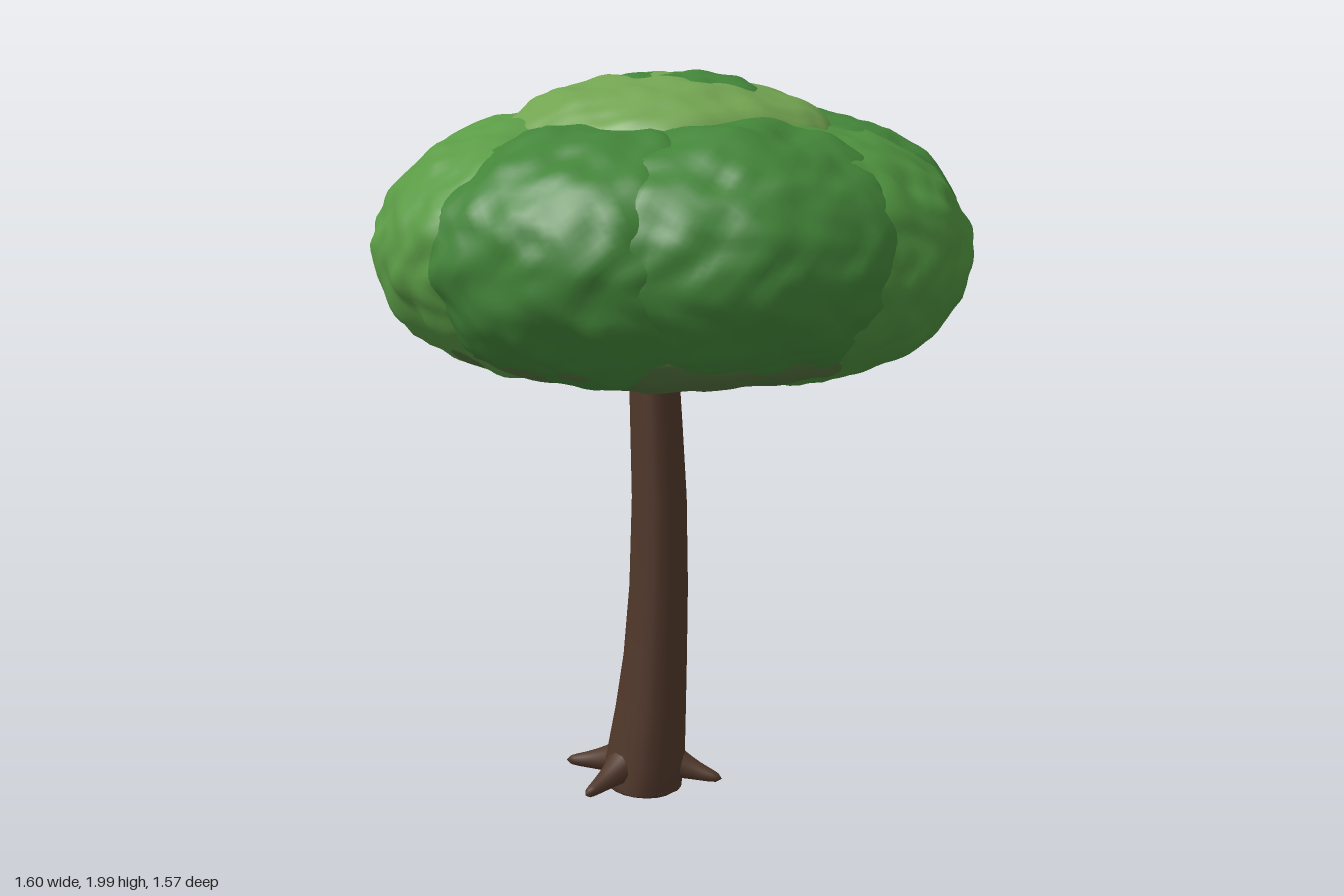
import * as THREE from 'three';
import { mergeVertices } from 'three/addons/utils/BufferGeometryUtils.js';

const GREEN = { light: 0x5b9b46, mid: 0x4f923f, dark: 0x438539, cap: 0x72a451, under: 0x54743f };
const BARK = 0x50372a;

function mesh(name, geometry, color) {
  const m = new THREE.Mesh(geometry, new THREE.MeshStandardMaterial({ color }));
  m.name = name;
  return m;
}

// Weld a geometry and give it smooth normals
function smooth(geometry) {
  geometry.deleteAttribute('uv');
  geometry.deleteAttribute('normal');
  const welded = mergeVertices(geometry, 1e-5);
  welded.computeVertexNormals();
  return welded;
}

// Soft bumps from layered waves, roughly -1 to 1
function bump(x, y, z, seed) {
  const wave = (f, s) =>
    Math.sin(x * f + s + 1.3 * Math.sin(z * f * 0.7 + s)) *
    Math.sin(y * f * 1.1 + s * 2.1 + Math.sin(x * f * 0.6)) *
    Math.cos(z * f + s * 0.7 + 1.1 * Math.sin(y * f * 0.8));
  return wave(9, seed) * 0.5 + wave(20, seed + 3) * 0.5 + wave(38, seed + 5) * 0.3;
}

// A lumpy ellipsoid of leaves, turned by angle about y
function foliage(name, color, center, radii, angle, seed, strength = 0.022) {
  const g = new THREE.IcosahedronGeometry(1, 20);
  const p = g.attributes.position;
  const v = new THREE.Vector3();
  const n = new THREE.Vector3();
  const axis = new THREE.Vector3(0, 1, 0);
  for (let i = 0; i < p.count; i++) {
    n.fromBufferAttribute(p, i);
    v.set(n.x * radii[0], n.y * radii[1], n.z * radii[2]);
    n.set(n.x / radii[0], n.y / radii[1], n.z / radii[2]).normalize();
    v.addScaledVector(n, strength * bump(v.x, v.y, v.z, seed));
    v.applyAxisAngle(axis, angle);
    p.setXYZ(i, v.x + center[0], v.y + center[1], v.z + center[2]);
  }
  return mesh(name, smooth(g), color);
}

// Ring of broad lobes with a pale cap, a dark crown and a shallow underside
function createCanopy() {
  const canopy = new THREE.Group();
  canopy.name = 'canopy';
  const lobes = [
    [90, 'dark'], [42, 'dark'], [-3, 'mid'], [-48, 'dark'],
    [-92, 'light'], [-140, 'dark'], [180, 'light'], [132, 'light'],
  ];
  lobes.forEach(([degrees, tone], i) => {
    const a = THREE.MathUtils.degToRad(degrees);
    const y = 1.548 + 0.012 * Math.sin(i * 2.3);
    const center = [0.365 * Math.cos(a), y, 0.355 * Math.sin(a)];
    canopy.add(foliage('leafLobe' + (i + 1), GREEN[tone], center, [0.43, 0.33, 0.49], -a, i * 1.7));
  });
  canopy.add(foliage('leafCap', GREEN.cap, [-0.01, 1.8, 0], [0.445, 0.187, 0.445], 0, 4.2, 0.016));
  canopy.add(foliage('leafCrown', GREEN.dark, [-0.01, 1.865, -0.02], [0.29, 0.13, 0.29], 0, 7.5, 0.02));
  canopy.add(foliage('leafUnderside', GREEN.under, [0, 1.34, 0], [0.64, 0.157, 0.64], 0, 2.6, 0.014));
  return canopy;
}

// Trunk sections: height, x min, x max, z min, z max
const SECTIONS = [
  [0.02, -0.18, 0.04, -0.06, 0.16],
  [0.1, -0.17, 0.05, -0.06, 0.152],
  [0.25, -0.143, 0.05, -0.06, 0.135],
  [0.4, -0.122, 0.05, -0.06, 0.12],
  [0.6, -0.107, 0.05, -0.06, 0.107],
  [0.85, -0.1, 0.045, -0.058, 0.1],
  [1.05, -0.105, 0.033, -0.052, 0.095],
  [1.25, -0.11, 0.02, -0.045, 0.09],
];

// Bent, flared trunk with shallow ridges
function createTrunk() {
  const sides = 20;
  const g = new THREE.CylinderGeometry(1, 1, 1, sides, SECTIONS.length - 1, true);
  const p = g.attributes.position;
  const last = SECTIONS.length - 1;
  for (let i = 0; i < p.count; i++) {
    const [y, x0, x1, z0, z1] = SECTIONS[Math.round((p.getY(i) + 0.5) * last)];
    const a = Math.atan2(p.getZ(i), p.getX(i));
    const r = 1 + 0.04 * Math.cos(5 * a + 0.6);
    const tilt = y < 0.05 ? -0.08 * (p.getX(i) * 0.11) : 0;
    p.setXYZ(i,
      (x0 + x1) / 2 + (x1 - x0) / 2 * r * p.getX(i), y + tilt,
      (z0 + z1) / 2 + (z1 - z0) / 2 * r * p.getZ(i));
  }
  return mesh('trunk', smooth(g), BARK);
}

// Closed foot of the trunk
function createFoot() {
  const foot = mesh('trunkFoot', new THREE.CylinderGeometry(0.108, 0.1, 0.014, 20), BARK);
  foot.position.set(-0.07, 0.019, 0.05);
  foot.rotation.z = -0.09;
  return foot;
}

// Tapered root, broad at the trunk, running outwards to a rounded tip
function createRoot(name, start, end) {
  const a = new THREE.Vector3(...start);
  const b = new THREE.Vector3(...end);
  const middle = a.clone().lerp(b, 0.5);
  middle.y -= 0.008;
  const curve = new THREE.QuadraticBezierCurve3(a, middle, b);
  const rings = 12;
  const sides = 10;
  const g = new THREE.TubeGeometry(curve, rings, 1, sides, false);
  const p = g.attributes.position;
  const v = new THREE.Vector3();
  for (let i = 0; i < p.count; i++) {
    const t = Math.floor(i / (sides + 1)) / rings;
    const c = curve.getPointAt(t);
    const r = (0.016 + 0.04 * (1 - t) ** 1.6) * Math.sqrt(Math.max(0, 1 - t ** 10));
    v.fromBufferAttribute(p, i).sub(c).multiplyScalar(r).add(c);
    p.setXYZ(i, v.x, v.y, v.z);
  }
  return mesh(name, smooth(g), BARK);
}

export function createModel() {
  const tree = new THREE.Group();
  tree.name = 'tree';
  tree.add(createCanopy(), createTrunk(), createFoot());
  tree.add(
    createRoot('rootRight', [-0.11, 0.09, 0.06], [-0.3, 0.05, 0.08]),
    createRoot('rootLeft', [-0.01, 0.09, 0.02], [0.155, 0.048, -0.005]),
    createRoot('rootFront', [-0.09, 0.09, 0.1], [-0.12, 0.05, 0.28]),
    createRoot('rootBack', [-0.07, 0.09, 0.01], [-0.08, 0.05, -0.18]),
  );
  return tree;
}
